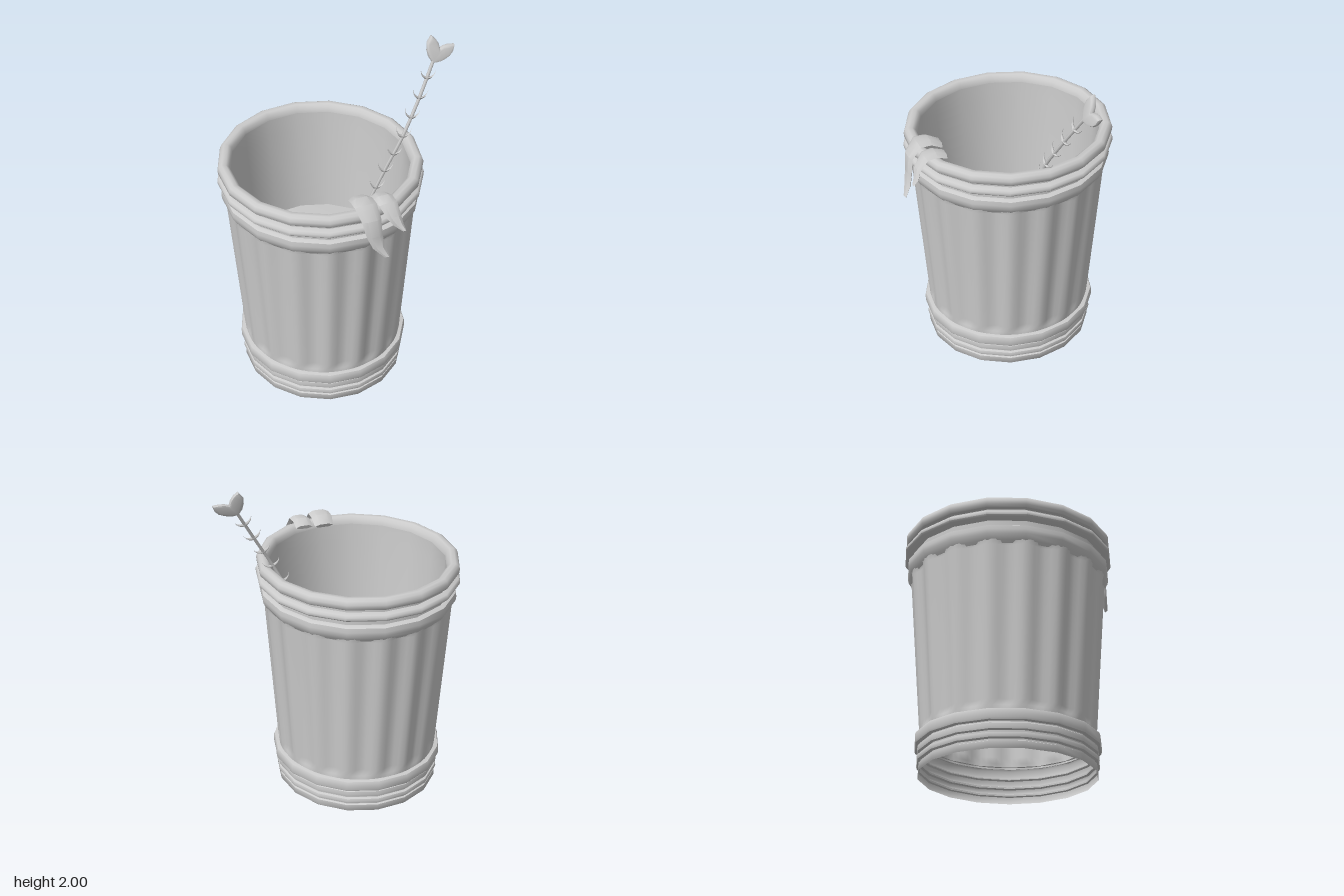
import * as THREE from 'three';
import { toCreasedNormals } from 'three/addons/utils/BufferGeometryUtils.js';

const grey = new THREE.MeshStandardMaterial({ color: 0xcccccc, side: THREE.DoubleSide });
const SIDES = 17;

function add(parent, name, geometry) {
  const mesh = new THREE.Mesh(geometry, grey);
  mesh.name = name;
  parent.add(mesh);
  return mesh;
}

// Profile of [radius, y] points turned round the can axis
function turned(profile, crease = 0.8) {
  const points = profile.map(([r, y]) => new THREE.Vector2(r, y));
  return toCreasedNormals(new THREE.LatheGeometry(points, SIDES, Math.PI / 2), crease);
}

// Tapered wall with shallow flutes that fade out at both ends
function flutedWall() {
  const levels = [[0.478, 0.21, 0], [0.482, 0.245, 0.3], [0.485, 0.28, 1], [0.55, 1.17, 1], [0.557, 1.21, 0.3]];
  const per = 6, count = SIDES * per, pos = [], index = [];
  const dip = [0, 0, 0.5, 1, 1, 0.5];
  for (const [r, y, depth] of levels) {
    for (let i = 0; i < count; i++) {
      const a = ((i - 0.5) / count) * Math.PI * 2;
      const rr = r - 0.022 * depth * dip[i % per];
      pos.push(rr * Math.cos(a), y, -rr * Math.sin(a));
    }
  }
  for (let j = 0; j < levels.length - 1; j++) {
    for (let i = 0; i < count; i++) {
      const a = j * count + i, b = j * count + (i + 1) % count;
      index.push(a, b, b + count, a, b + count, a + count);
    }
  }
  const g = new THREE.BufferGeometry();
  g.setAttribute('position', new THREE.Float32BufferAttribute(pos, 3));
  g.setIndex(index);
  g.computeVertexNormals();
  return g;
}

// Flat limp strip through [x, y, z, halfWidth] stations, draped in the yz plane
function strip(stations, thick) {
  const pos = [], index = [], n = 6;
  stations.forEach(([x, y, z, w], k) => {
    const p = stations[Math.max(k - 1, 0)], q = stations[Math.min(k + 1, stations.length - 1)];
    const len = Math.hypot(q[1] - p[1], q[2] - p[2]);
    const ny = (q[2] - p[2]) / len, nz = -(q[1] - p[1]) / len;
    const t = thick * Math.min(1, w / 0.03);
    for (const [u, v] of [[-1, 0], [-0.5, 0.8], [0.5, 0.8], [1, 0], [0.5, -0.6], [-0.5, -0.6]]) {
      pos.push(x + u * w, y + v * t * ny, z + v * t * nz);
    }
  });
  for (let k = 0; k < stations.length - 1; k++) {
    for (let i = 0; i < n; i++) {
      const a = k * n + i, b = k * n + (i + 1) % n;
      index.push(a, a + n, b, b, a + n, b + n);
    }
  }
  const last = (stations.length - 1) * n;
  for (let i = 1; i < n - 1; i++) index.push(0, i, i + 1, last, last + i + 1, last + i);
  const g = new THREE.BufferGeometry();
  g.setAttribute('position', new THREE.Float32BufferAttribute(pos, 3));
  g.setIndex(index);
  return toCreasedNormals(g, 0.6);
}

// Thorn-like leaf leaving the stem sideways and curling upward
function leaf(side) {
  const g = new THREE.ConeGeometry(0.011, 1, 5, 5);
  const p = g.attributes.position;
  for (let i = 0; i < p.count; i++) {
    const t = p.getY(i) + 0.5;
    p.setXYZ(i, side * 0.052 * Math.sin(t * 1.5), 0.055 * t * t + p.getX(i), p.getZ(i));
  }
  g.computeVertexNormals();
  return g;
}

// Two-lobed blossom, leaning back as it rises
function blossomGeometry() {
  const s = new THREE.Shape();
  s.moveTo(0.585, 1.855);
  s.quadraticCurveTo(0.55, 1.90, 0.565, 1.96);
  s.lineTo(0.592, 1.995);
  s.quadraticCurveTo(0.63, 1.97, 0.635, 1.915);
  s.quadraticCurveTo(0.67, 1.935, 0.725, 1.925);
  s.quadraticCurveTo(0.715, 1.875, 0.66, 1.86);
  s.quadraticCurveTo(0.62, 1.845, 0.585, 1.855);
  const g = new THREE.ExtrudeGeometry(s, {
    depth: 0.014, bevelThickness: 0.01, bevelSize: 0.012, bevelOffset: -0.008, bevelSegments: 2, curveSegments: 3,
  });
  const p = g.attributes.position;
  for (let i = 0; i < p.count; i++) {
    p.setZ(i, p.getZ(i) - 0.175 - (p.getY(i) - 1.86) * 0.3);
  }
  return toCreasedNormals(g, 0.8);
}

export function createModel() {
  const model = new THREE.Group();
  model.name = 'trashCan';

  // Can, slightly oval in plan
  const can = new THREE.Group();
  can.name = 'can';
  can.position.set(-0.154, 0, -0.048);
  can.scale.z = 1.04;
  model.add(can);

  add(can, 'wall', flutedWall());
  add(can, 'baseRings', turned([
    [0.485, 0], [0.488, 0.004], [0.488, 0.04], [0.478, 0.045], [0.478, 0.055], [0.494, 0.06], [0.498, 0.073],
    [0.494, 0.087], [0.48, 0.092], [0.48, 0.102], [0.494, 0.107], [0.497, 0.12], [0.494, 0.14], [0.484, 0.147],
    [0.484, 0.153], [0.506, 0.155], [0.51, 0.165], [0.51, 0.205], [0.505, 0.216], [0.475, 0.222],
  ]));
  add(can, 'shoulderBand', turned([
    [0.545, 1.18], [0.556, 1.195], [0.574, 1.225], [0.577, 1.25], [0.574, 1.275], [0.56, 1.283], [0.548, 1.285],
  ]));
  add(can, 'neckRings', turned([
    [0.548, 1.285], [0.548, 1.318], [0.585, 1.326], [0.594, 1.335], [0.594, 1.352], [0.585, 1.362], [0.555, 1.367],
    [0.555, 1.385], [0.576, 1.39],
  ]));
  add(can, 'rim', turned([
    [0.576, 1.39], [0.588, 1.402], [0.59, 1.425], [0.582, 1.446], [0.565, 1.456], [0.54, 1.455], [0.522, 1.44], [0.516, 1.41],
  ]));
  add(can, 'innerWall', turned([[0.516, 1.41], [0.512, 1.3], [0.467, 0.75]]));
  // Gently domed floor inside the can
  add(can, 'floor', turned([[0.467, 0.75], [0.3, 0.768], [0.13, 0.777], [0, 0.78]]));

  // Peel hanging over the front of the rim
  const peel = new THREE.Group();
  peel.name = 'peel';
  model.add(peel);
  add(peel, 'longPeelStrip', strip([
    [-0.1, 1.45, 0.405, 0.058], [-0.105, 1.483, 0.47, 0.064], [-0.105, 1.485, 0.535, 0.064],
    [-0.092, 1.42, 0.59, 0.056], [-0.078, 1.32, 0.602, 0.046], [-0.058, 1.25, 0.618, 0.036], [-0.022, 1.197, 0.65, 0.015],
  ], 0.019));
  add(peel, 'shortPeelStrip', strip([
    [0.02, 1.45, 0.42, 0.052], [0.02, 1.473, 0.48, 0.055], [0.025, 1.468, 0.54, 0.053],
    [0.04, 1.41, 0.588, 0.042], [0.062, 1.363, 0.605, 0.028], [0.085, 1.335, 0.635, 0.01],
  ], 0.018));

  // Sprig leaning out of the can
  const sprig = new THREE.Group();
  sprig.name = 'sprig';
  model.add(sprig);
  const path = new THREE.CatmullRomCurve3([
    [0.145, 1.0, -0.068], [0.25, 1.24, -0.055], [0.355, 1.45, -0.05], [0.47, 1.65, -0.095], [0.6, 1.88, -0.168],
  ].map((p) => new THREE.Vector3(...p)));
  add(sprig, 'stem', new THREE.TubeGeometry(path, 16, 0.01, 6));
  for (let i = 0; i < 7; i++) {
    const pair = new THREE.Group();
    pair.name = 'leafPair';
    pair.position.copy(path.getPointAt(0.14 + i * 0.122));
    pair.rotation.set(-0.25, 0.12, -0.3);
    for (const side of [-1, 1]) add(pair, 'leaf', leaf(side));
    sprig.add(pair);
  }
  add(sprig, 'blossom', blossomGeometry());

  return model;
}
